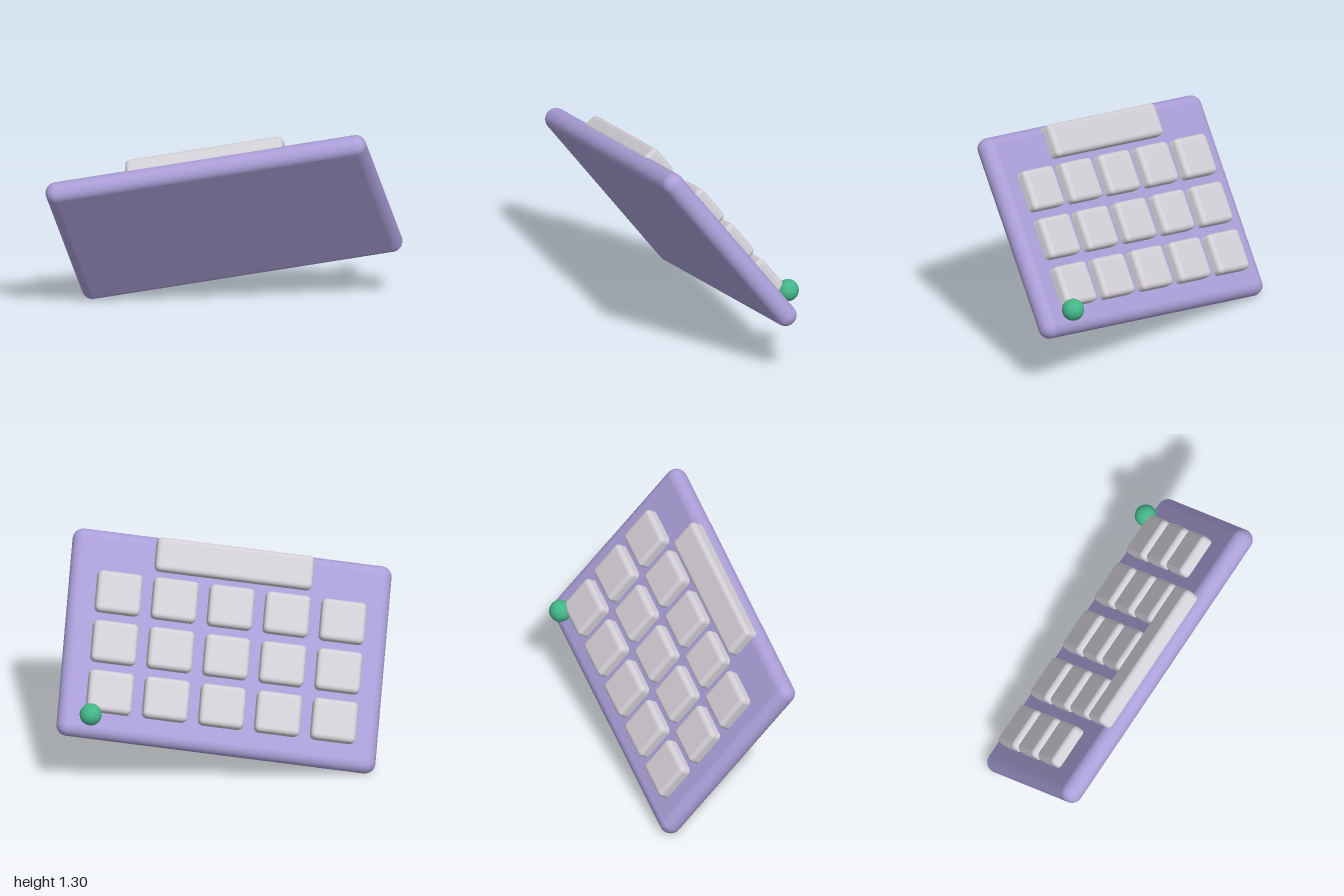
import * as THREE from 'three';
import { RoundedBoxGeometry } from 'three/addons/geometries/RoundedBoxGeometry.js';

function material(name, color) {
  const m = new THREE.MeshStandardMaterial({ color });
  m.name = name;
  return m;
}

export function createModel() {
  const lavender = material('lavender', 0xab9fd8);
  const paleGrey = material('paleGrey', 0xd3cfd6);
  const green = material('green', 0x44b588);

  const model = new THREE.Group();
  model.name = 'keyboard';

  // Everything is laid out flat here, then the whole board is tilted
  const board = new THREE.Group();
  board.name = 'tiltedBoard';
  model.add(board);

  const add = (name, geometry, mat, x, y, z) => {
    const mesh = new THREE.Mesh(geometry, mat);
    mesh.name = name;
    mesh.position.set(x, y, z);
    board.add(mesh);
  };

  // Case: slab with fully rounded edges
  add('case', new RoundedBoxGeometry(1.83, 0.124, 1.185, 6, 0.061), lavender, 0, 0, 0);

  // Three rows of five keys
  const keyGeometry = new RoundedBoxGeometry(0.255, 0.1, 0.235, 4, 0.028);
  for (let row = 0; row < 3; row++) {
    for (let col = 0; col < 5; col++) {
      add('key', keyGeometry, paleGrey, (col - 2) * 0.322, 0.075, -0.05 + (row - 1) * 0.284);
    }
  }

  // Long key at the near edge
  add('spaceBar', new RoundedBoxGeometry(0.9, 0.1, 0.19, 4, 0.028), paleGrey, 0, 0.075, 0.484);

  // Round knob in the far corner
  add('knob', new THREE.SphereGeometry(0.062, 32, 20), green, 0.75, 0.118, -0.479);

  // Tilt: board's own axes in model space
  const right = new THREE.Vector3(1.67, 0.33, 0.12).normalize();
  const up = new THREE.Vector3(-0.096, 1.027, -1.489);
  const near = new THREE.Vector3().crossVectors(right, up).normalize();
  up.crossVectors(near, right).normalize();
  board.quaternion.setFromRotationMatrix(new THREE.Matrix4().makeBasis(right, up, near));
  board.position.y = 0.65;

  return model;
}
